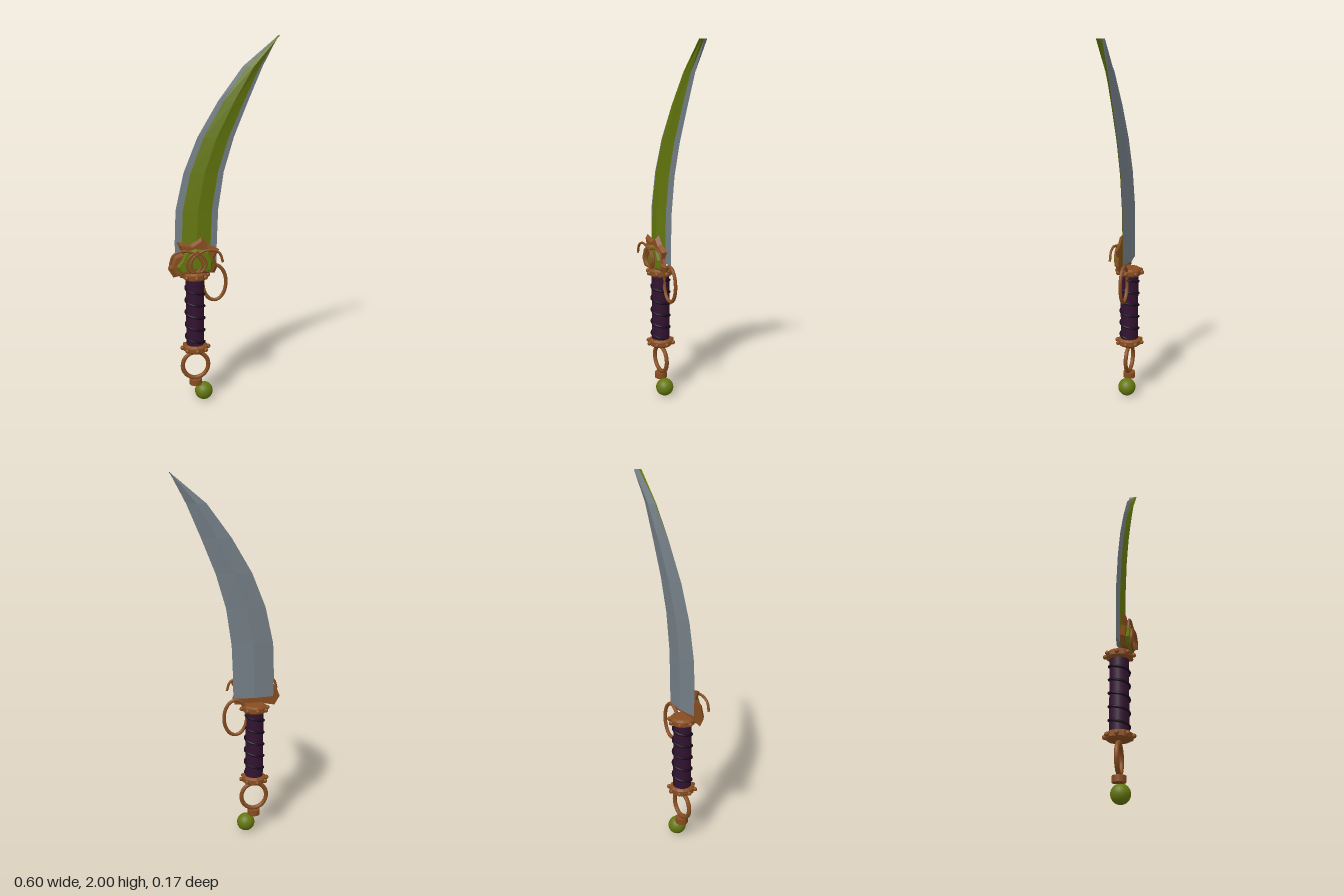
import * as THREE from 'three';

const mat = (name, color) => {
  const m = new THREE.MeshStandardMaterial({ color });
  m.name = name;
  return m;
};

const AXIS = -0.15; // x of the grip's axis

// Blade stations: height, back edge x, cutting edge x
const STATIONS = [
  [0.80, -0.255, -0.03], [0.92, -0.257, -0.028], [1.10, -0.25, -0.02],
  [1.30, -0.205, 0.01], [1.485, -0.13, 0.065], [1.67, -0.02, 0.14],
  [1.845, 0.11, 0.215], [2.0, 0.297, 0.297],
];

// Diamond cross-sections lofted along the stations
function bladeGeometry(widthScale, z, half) {
  const pos = [], index = [];
  STATIONS.forEach(([y, a, b]) => {
    const mid = (a + b) / 2, w = (b - a) / 2 * widthScale;
    pos.push(mid - w, y, z, mid, y, z + half, mid + w, y, z, mid, y, z - half);
  });
  for (let s = 0; s < STATIONS.length - 1; s++) {
    for (let i = 0; i < 4; i++) {
      const a = s * 4 + i, b = s * 4 + (i + 1) % 4;
      index.push(a, b, b + 4, a, b + 4, a + 4);
    }
  }
  index.push(0, 3, 2, 0, 2, 1);
  const g = new THREE.BufferGeometry();
  g.setAttribute('position', new THREE.Float32BufferAttribute(pos, 3));
  g.setIndex(index);
  const flat = g.toNonIndexed();
  flat.computeVertexNormals();
  return flat;
}

// Flat plate whose front face shrinks toward a centre, giving sloped sides
function plateGeometry(points, z, depth, cx, cy, shrink) {
  const shape = new THREE.Shape(points.map(([x, y]) => new THREE.Vector2(x, y)));
  const g = new THREE.ExtrudeGeometry(shape, { depth, bevelEnabled: false });
  const p = g.attributes.position;
  for (let i = 0; i < p.count; i++) {
    if (p.getZ(i) > depth / 2) {
      p.setX(i, cx + (p.getX(i) - cx) * shrink);
      p.setY(i, cy + (p.getY(i) - cy) * shrink);
    }
  }
  g.translate(0, 0, z);
  g.computeVertexNormals();
  return g;
}

function tube(points, radius, segments) {
  const curve = new THREE.CatmullRomCurve3(points.map(p => new THREE.Vector3(...p)));
  return new THREE.TubeGeometry(curve, segments, radius, 8);
}

export function createModel() {
  const steel = mat('steel', 0x757f87);
  const green = mat('green', 0x64770d);
  const bronze = mat('bronze', 0x874d20);
  const leather = mat('purple leather', 0x321230);
  const cord = mat('dark cord', 0x170a1a);

  const root = new THREE.Group();
  root.name = 'curvedSword';
  const add = (name, geometry, material, x = 0, y = 0, z = 0, parent = root) => {
    const m = new THREE.Mesh(geometry, material);
    m.name = name;
    m.position.set(x, y, z);
    parent.add(m);
    return m;
  };

  // Blade with a green inlay on its front
  add('blade', bladeGeometry(1, 0, 0.015), steel);
  add('bladeInlay', bladeGeometry(0.68, 0.015, 0.015), green);

  // Grip and its spiral cord
  add('grip', new THREE.CylinderGeometry(0.05, 0.05, 0.4, 16), leather, AXIS, 0.53);
  const spiral = [];
  for (let i = 0; i <= 60; i++) {
    const a = i / 60 * Math.PI * 2 * 5;
    spiral.push([Math.cos(a) * 0.051, 0.35 + 0.35 * i / 60, Math.sin(a) * 0.051]);
  }
  add('gripCord', tube(spiral, 0.007, 160), cord, AXIS);

  // Riveted collars at both ends of the grip
  const collar = (name, y) => {
    const group = new THREE.Group();
    group.name = name;
    group.position.set(AXIS, y, 0);
    root.add(group);
    const profile = [[0, -0.022], [0.056, -0.022], [0.069, -0.012], [0.069, 0.012], [0.056, 0.022], [0, 0.022]];
    const g = new THREE.LatheGeometry(profile.map(p => new THREE.Vector2(...p)), 12).toNonIndexed();
    g.computeVertexNormals();
    add('collarRing', g, bronze, 0, 0, 0, group);
    for (let i = 0; i < 8; i++) {
      const a = i * Math.PI / 4;
      add('rivet', new THREE.SphereGeometry(0.012, 10, 8), bronze,
        Math.cos(a) * 0.073, 0, Math.sin(a) * 0.073, group);
    }
  };
  collar('upperCollar', 0.738);
  collar('lowerCollar', 0.32);

  // Pommel ring, socket and ball
  add('pommelRing', new THREE.TorusGeometry(0.072, 0.012, 8, 32), bronze, AXIS, 0.213).scale.y = 1.05;
  add('pommelSocket', new THREE.CylinderGeometry(0.035, 0.035, 0.032, 12), bronze, AXIS, 0.114);
  add('pommelBall', new THREE.SphereGeometry(0.05, 24, 16), green, -0.104, 0.054);

  // Finger ring beside the grip
  const oval = new THREE.EllipseCurve(0, 0, 0.064, 0.1).getPoints(24).slice(0, -1);
  const ovalPath = new THREE.CatmullRomCurve3(oval.map(p => new THREE.Vector3(p.x, p.y, 0)), true);
  add('fingerRing', new THREE.TubeGeometry(ovalPath, 40, 0.01, 8, true), bronze, -0.042, 0.69);

  // Leafy guard plates on the front
  add('guardPlate', plateGeometry([
    [-0.3, 0.79], [-0.27, 0.74], [-0.2, 0.755], [-0.09, 0.755], [-0.045, 0.755], [-0.03, 0.79],
    [-0.045, 0.84], [-0.02, 0.885], [-0.08, 0.915], [-0.115, 0.957], [-0.175, 0.92],
    [-0.25, 0.937], [-0.225, 0.875], [-0.275, 0.855],
  ], 0.028, 0.021, -0.15, 0.83, 0.84), bronze);
  add('guardInlay', plateGeometry([
    [-0.26, 0.8], [-0.235, 0.765], [-0.17, 0.785], [-0.11, 0.765], [-0.06, 0.775],
    [-0.055, 0.83], [-0.08, 0.885], [-0.15, 0.9], [-0.21, 0.885], [-0.23, 0.84],
  ], 0.046, 0.017, -0.15, 0.83, 0.85), green);

  // Crossing scroll wires, mirrored about the grip axis
  const scroll = [[-0.142, 0.825], [-0.125, 0.873], [-0.085, 0.893], [-0.03, 0.886], [0.015, 0.855],
    [0.03, 0.815], [0.01, 0.778], [-0.03, 0.778], [-0.052, 0.815], [-0.035, 0.86], [0, 0.888]];
  for (const side of [1, -1]) {
    add(side > 0 ? 'rightScroll' : 'leftScroll',
      tube(scroll.map(([x, y]) => [AXIS + side * x, y, 0.069]), 0.007, 60), bronze);
  }
  return root;
}
